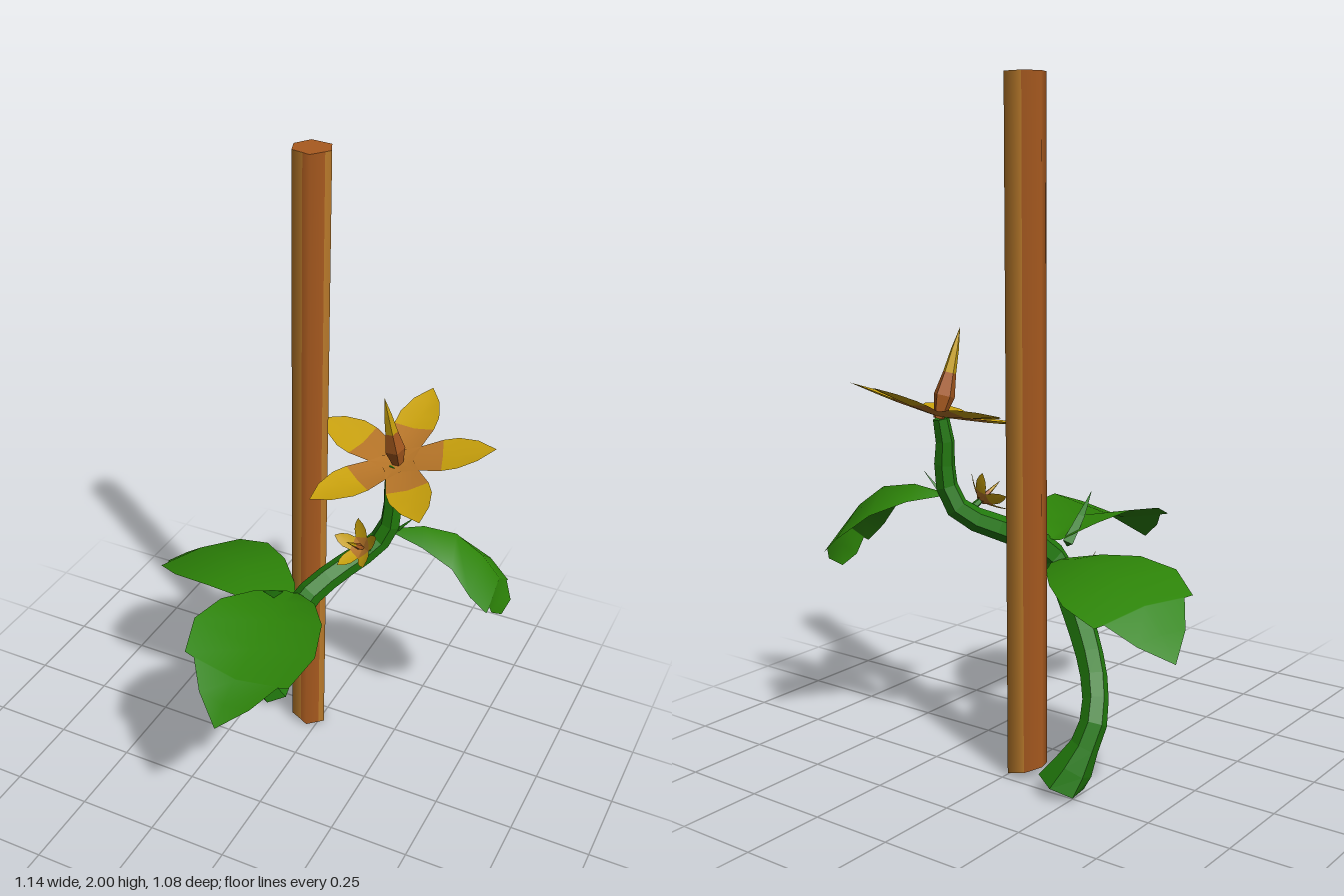
import * as THREE from 'three';
import { mergeVertices } from 'three/addons/utils/BufferGeometryUtils.js';

const V = (x, y, z) => new THREE.Vector3(x, y, z);
const curveOf = (pts) => new THREE.CatmullRomCurve3(pts.map((p) => V(...p)));
const UP = V(0, 1, 0);

function paint(name, color, side = THREE.FrontSide) {
  const m = new THREE.MeshStandardMaterial({ color, side });
  m.name = name;
  return m;
}

// Surface through rows of points, flat-shaded unless smooth
function grid(rows, smooth = false) {
  const pos = [];
  for (let i = 0; i + 1 < rows.length; i++) {
    for (let j = 0; j + 1 < rows[i].length; j++) {
      const a = rows[i][j], b = rows[i][j + 1], c = rows[i + 1][j + 1], d = rows[i + 1][j];
      for (const p of [a, b, c, a, c, d]) pos.push(p.x, p.y, p.z);
    }
  }
  let g = new THREE.BufferGeometry();
  g.setAttribute('position', new THREE.Float32BufferAttribute(pos, 3));
  if (smooth) g = mergeVertices(g);
  g.computeVertexNormals();
  return g;
}

// Tapered stalk along a path, radii spread evenly along its length, closed at both ends
function stalk(pts, radii, steps, sides, floor = -9) {
  const curve = curveOf(pts);
  const f = curve.computeFrenetFrames(steps);
  const rows = [];
  for (let i = 0; i <= steps; i++) {
    const u = (i / steps) * (radii.length - 1);
    const k = Math.min(Math.floor(u), radii.length - 2);
    const r = THREE.MathUtils.lerp(radii[k], radii[k + 1], u - k);
    const c = curve.getPointAt(i / steps);
    const ring = [];
    for (let j = 0; j <= sides; j++) {
      const a = ((j % sides) / sides) * Math.PI * 2;
      const p = c.clone().addScaledVector(f.normals[i], Math.cos(a) * r)
        .addScaledVector(f.binormals[i], Math.sin(a) * r);
      p.y = Math.max(p.y, floor);
      ring.push(p);
    }
    if (i === 0) rows.push(ring.map(() => c));
    rows.push(ring);
    if (i === steps) rows.push(ring.map(() => c));
  }
  return grid(rows);
}

// Leaf or petal: a midrib path with [t, halfWidth] rows and a lift for each edge
function blade(pts, profile, liftA, liftB) {
  const curve = curveOf(pts);
  return grid(profile.map(([t, w]) => {
    const c = curve.getPoint(t);
    const s = curve.getTangent(t).cross(UP).normalize();
    const edge = (k, lift) => c.clone().addScaledVector(s, k * w).addScaledVector(UP, lift * w);
    return [edge(-1, liftA), c, edge(1, liftB)];
  }), true);
}

export function createModel() {
  const model = new THREE.Group();
  model.name = 'climbingPlant';
  const brown = paint('bark brown', 0xa85a1f);
  const tan = paint('light wood', 0xbb7b2b);
  const stemGreen = paint('stem green', 0x21780c);
  const leafGreen = paint('leaf green', 0x2d8408, THREE.DoubleSide);
  const petalTan = paint('petal base tan', 0xb87628, THREE.DoubleSide);
  const yellow = paint('petal yellow', 0xcaa20c, THREE.DoubleSide);

  const add = (name, geometry, material, parent = model) => {
    const m = new THREE.Mesh(geometry, material);
    m.name = name;
    parent.add(m);
    return m;
  };

  // Six-sided pole, softly shaded, its grain painted in upright strips, foot cut at a slant
  const outline = [
    [0.017, -0.183, 1], [-0.005, -0.23, 1], [-0.07, -0.238, 0], [-0.1, -0.19, 0],
    [-0.083, -0.143, 1], [-0.047, -0.135, 0], [-0.023, -0.128, 0], [0.005, -0.166, 1],
  ];
  const axis = [-0.042, -0.184];
  const foot = ([x, z]) => V(x, Math.max(0, 0.007 - x * 0.3), z);
  const head = ([x, z]) => V(x, 2, z);
  const loop = [...outline, outline[0]];
  const sides = grid([loop.map(foot), loop.map(head)]);
  const { position, normal } = sides.attributes;
  for (let i = 0; i < position.count; i++) {
    const n = V(position.getX(i) - axis[0], 0, position.getZ(i) - axis[1]).normalize();
    normal.setXYZ(i, n.x, n.y, n.z);
  }
  outline.forEach((p, i) => sides.addGroup(i * 6, 6, p[2]));
  const pole = new THREE.Group();
  pole.name = 'pole';
  model.add(pole);
  add('poleSides', sides, [brown, tan], pole);
  add('poleTop', grid([loop.map(head), loop.map(() => head(axis))]), brown, pole);
  add('poleFoot', grid([loop.map(() => foot(axis)), loop.map(foot)]), tan, pole);

  // Winding stem
  add('stem', stalk([
    [-0.2, 0.02, -0.235], [-0.235, 0.1, -0.205], [-0.258, 0.2, -0.16], [-0.22, 0.3, -0.1],
    [-0.12, 0.42, -0.02], [-0.04, 0.51, 0.025], [0.0, 0.59, 0.02], [0.04, 0.66, -0.04],
    [0.1, 0.71, -0.13], [0.175, 0.77, -0.22], [0.21, 0.86, -0.24], [0.205, 0.96, -0.242],
    [0.212, 1.04, -0.252],
  ], [0.074, 0.042, 0.038, 0.041, 0.045, 0.044, 0.04, 0.037, 0.034, 0.031, 0.024], 20, 6, 0.015),
  stemGreen);

  // Leaves with one notch on each edge near the tip
  const leafProfile = (w) => [
    [0, 0.1], [0.15, 0.5], [0.34, 0.82], [0.55, 1], [0.74, 0.86], [0.745, 0.7], [0.88, 0.42], [1, 0],
  ].map(([t, k]) => [t, k * w]);
  add('frontLeaf', blade([
    [-0.01, 0.66, 0], [0.01, 0.695, 0.14], [0.02, 0.685, 0.28], [0.018, 0.64, 0.42], [0.015, 0.555, 0.54],
  ], leafProfile(0.195), 0.18, 0.22), leafGreen);
  add('rightLeaf', blade([
    [-0.01, 0.6, 0.01], [-0.16, 0.635, -0.06], [-0.3, 0.63, -0.12], [-0.44, 0.58, -0.18],
    [-0.57, 0.46, -0.235],
  ], leafProfile(0.188), 0.02, -0.24), leafGreen);
  add('leftLeaf', blade([
    [0.215, 0.82, -0.24], [0.36, 0.84, -0.285], [0.465, 0.775, -0.31], [0.545, 0.69, -0.312],
    [0.562, 0.56, -0.31],
  ], leafProfile(0.112), -0.75, -0.75), leafGreen);

  // Thin shoots at the leaf joints
  add('frontShoot', stalk([[-0.04, 0.65, 0.02], [-0.035, 0.72, 0.1], [-0.02, 0.78, 0.175]],
    [0.018, 0.012, 0], 4, 3), stemGreen);
  add('leftShoot', stalk([[0.22, 0.81, -0.24], [0.285, 0.88, -0.25]], [0.008, 0], 2, 3), stemGreen);

  // Flower of five petals, tan up to the split and yellow beyond, around a pointed centre
  function flower(name, rise, length, split) {
    const g = new THREE.Group();
    g.name = name;
    const rib = [[0, 0, 0], [length / 2, rise * 0.4, 0], [length, rise, 0]];
    const inner = blade(rib, [[0, 0.045], [0.22, 0.05], [split, 0.065]], 0.15, 0.15);
    const outer = blade(rib, [[split, 0.065], [0.62, 0.064], [0.82, 0.042], [1, 0]], 0.15, 0.15);
    for (let i = 0; i < 5; i++) {
      const turn = Math.PI / 2 + (i * Math.PI * 2) / 5;
      add('petalBase', inner, petalTan, g).rotation.y = turn;
      add('petalTip', outer, yellow, g).rotation.y = turn;
    }
    add('flowerCentre', stalk([[0, -0.005, 0], [0, 0.13, 0]], [0.016, 0.032, 0.02], 2, 5), brown, g);
    add('flowerSpike', stalk([[0, 0.13, 0], [0, 0.265, 0]], [0.02, 0.012, 0], 2, 5), yellow, g);
    model.add(g);
    return g;
  }
  const big = flower('topFlower', 0.038, 0.298, 0.46);
  big.position.set(0.212, 1.045, -0.26);
  big.rotation.set(0.28, 0, 0.08);

  // Two half-open side flowers on short stalks
  for (const [name, from, seat, dir] of [
    ['lowerFlower', [-0.01, 0.54, 0.02], [-0.085, 0.545, 0.035], V(-0.75, 0.1, 0.55)],
    ['upperFlower', [0.17, 0.75, -0.21], [0.155, 0.785, -0.15], V(-0.25, 0.5, 0.6)],
  ]) {
    const f = flower(name, 0.15, 0.25, 0.36);
    f.position.set(...seat);
    f.quaternion.setFromUnitVectors(UP, dir.normalize());
    f.scale.setScalar(0.33);
    add(name + 'Stalk', stalk([from, seat], [0.014, 0.01], 2, 5), stemGreen);
  }
  return model;
}
